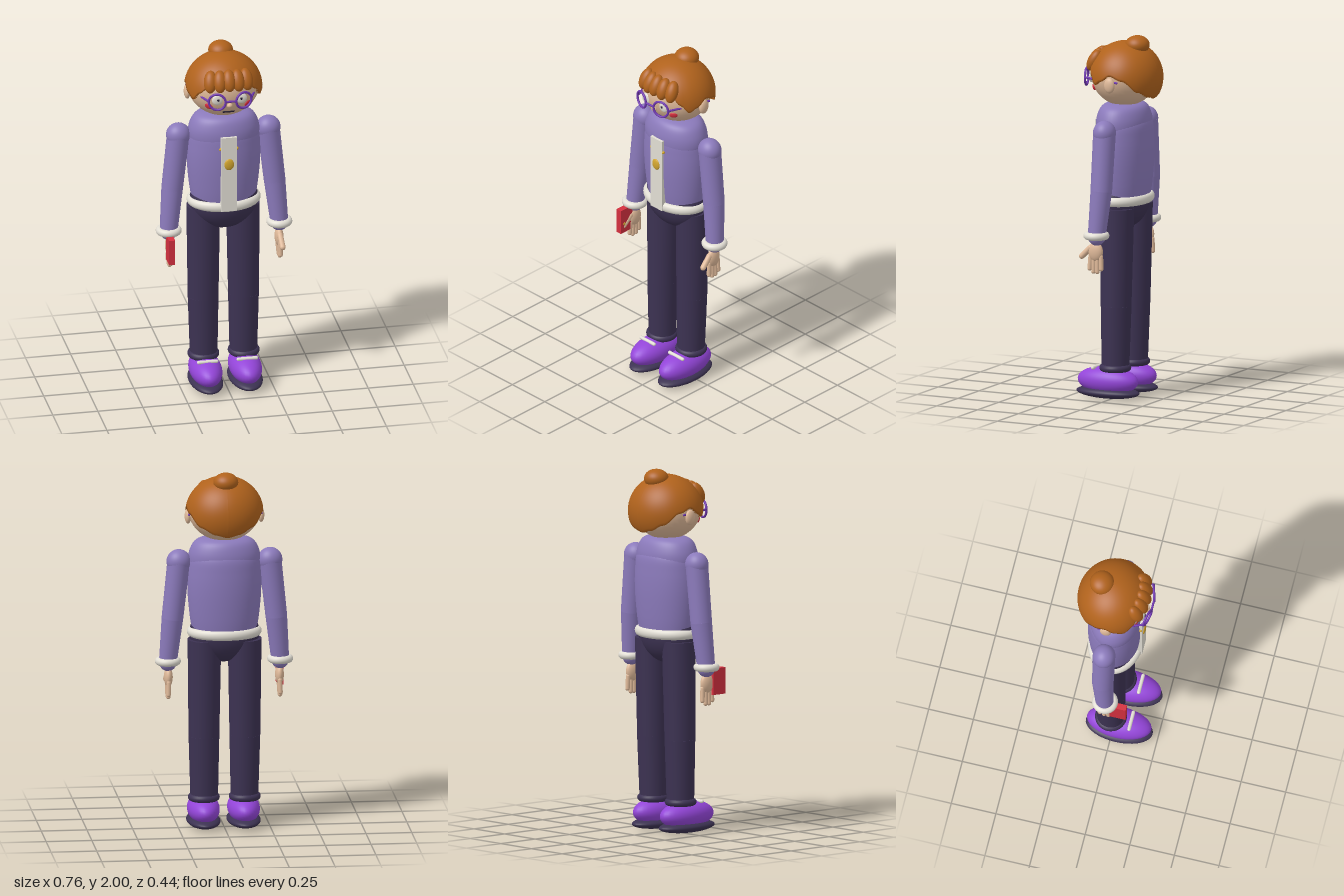
import * as THREE from 'three';

const mat = (name, color) => {
  const m = new THREE.MeshStandardMaterial({ color });
  m.name = name;
  return m;
};

export function createModel() {
  const hairMat = mat('hair brown', 0xb0621c);
  const skin = mat('skin', 0xdfb999);
  const lilac = mat('sweater lilac', 0x8b7abb);
  const navy = mat('trouser navy', 0x3c3252);
  const violet = mat('shoe violet', 0x9345d8);
  const frameMat = mat('glasses purple', 0x7038b0);
  const cream = mat('trim cream', 0xe2ded4);
  const red = mat('red', 0xd5303f);
  const gold = mat('gold', 0xd2a52f);
  const ink = mat('ink', 0x251c30);
  hairMat.side = THREE.DoubleSide;

  const model = new THREE.Group();
  model.name = 'figure';
  const V = (x, y, z) => new THREE.Vector3(x, y, z);

  const add = (name, geo, material, x = 0, y = 0, z = 0, parent = model) => {
    const m = new THREE.Mesh(geo, material);
    m.name = name;
    m.position.set(x, y, z);
    parent.add(m);
    return m;
  };
  const ball = (name, material, x, y, z, rx, ry, rz, parent) => {
    const m = add(name, new THREE.SphereGeometry(1, 36, 24), material, x, y, z, parent);
    m.scale.set(rx, ry, rz);
    return m;
  };
  // straight tapered limb or rounded rod between two points
  const between = (m, a, b) => {
    m.position.copy(a).add(b).multiplyScalar(0.5);
    m.quaternion.setFromUnitVectors(V(0, 1, 0), b.clone().sub(a).normalize());
    return m;
  };
  const limb = (name, material, a, b, ra, rb, parent) =>
    between(add(name, new THREE.CylinderGeometry(rb, ra, a.distanceTo(b), 32), material, 0, 0, 0, parent), a, b);
  const rod = (name, material, a, b, r, parent) =>
    between(add(name, new THREE.CapsuleGeometry(r, a.distanceTo(b), 6, 14), material, 0, 0, 0, parent), a, b);
  const ring = (name, material, x, y, z, r, tube, parent) => {
    const m = add(name, new THREE.TorusGeometry(r, tube, 16, 48), material, x, y, z, parent);
    m.rotation.x = Math.PI / 2;
    return m;
  };
  const lathe = (name, material, pts, z, depth) => {
    const curve = new THREE.SplineCurve(pts.map(p => new THREE.Vector2(...p)));
    const profile = curve.getPoints(28).map(p => new THREE.Vector2(Math.max(p.x, 0), p.y));
    const m = add(name, new THREE.LatheGeometry(profile, 48), material, 0, 0, z);
    m.scale.z = depth;
    return m;
  };

  // torso, yoke, hem and pelvis
  lathe('sweaterBody', lilac, [[0.17, 1.08], [0.188, 1.18], [0.201, 1.32], [0.2, 1.44], [0.185, 1.53], [0.12, 1.59]], -0.013, 0.74);
  lathe('sweaterYoke', lilac, [[0.18, 1.44], [0.196, 1.49], [0.191, 1.55], [0.16, 1.605], [0.1, 1.627], [0, 1.632]], -0.01, 0.72);
  const hem = ring('sweaterHem', cream, 0, 1.1, -0.01, 0.177, 0.027);
  hem.scale.y = 0.75;
  ball('pelvis', navy, 0, 1.09, -0.008, 0.192, 0.16, 0.128);

  // front placket with badge and studs
  add('placket', new THREE.BoxGeometry(0.088, 0.44, 0.03), cream, 0, 1.305, 0.13);
  ball('badge', gold, 0, 1.365, 0.145, 0.027, 0.033, 0.01);
  for (const s of [-1, 1]) ball('stud', gold, 0.045 * s, 1.455, 0.135, 0.009, 0.009, 0.009);

  // head and a helper giving the depth of the face
  ball('head', skin, 0, 1.78, -0.015, 0.197, 0.172, 0.18);
  const faceZ = (x, y) =>
    -0.015 + 0.18 * Math.sqrt(Math.max(0, 1 - (x / 0.197) ** 2 - ((y - 1.78) / 0.172) ** 2));
  ball('nose', skin, 0, 1.727, faceZ(0, 1.727) + 0.004, 0.016, 0.014, 0.015);
  rod('mouth', ink, V(-0.028, 1.677, faceZ(0.028, 1.677)), V(0.028, 1.677, faceZ(0.028, 1.677)), 0.006);

  // hair cap: part of an ellipsoid, cut along a wavy hairline
  const hairline = [[0, 1.87], [0.55, 1.85], [0.85, 1.79], [1.08, 1.742], [1.3, 1.765],
    [1.6, 1.8], [1.95, 1.775], [2.4, 1.71], [2.8, 1.675], [Math.PI, 1.66]];
  const edgeY = a => {
    let i = 0;
    while (i < hairline.length - 2 && a > hairline[i + 1][0]) i++;
    const [a0, y0] = hairline[i], [a1, y1] = hairline[i + 1];
    return THREE.MathUtils.lerp(y0, y1, THREE.MathUtils.smoothstep(a, a0, a1));
  };
  const rows = 24, cols = 96;
  const cap = new THREE.SphereGeometry(1, cols, rows);
  const cp = cap.attributes.position;
  for (let r = 0; r <= rows; r++) for (let c = 0; c <= cols; c++) {
    const a = Math.PI - (c / cols) * Math.PI * 2;
    const end = Math.acos((edgeY(Math.abs(a)) - 1.765) / 0.2);
    const t = end * Math.min(r / (rows - 1), 1);
    const k = r === rows ? 0.86 : 1; // last row folds in to the scalp
    cp.setXYZ(r * (cols + 1) + c, -0.213 * k * Math.sin(t) * Math.sin(a),
      1.765 + 0.2 * Math.cos(t), -0.02 + 0.202 * k * Math.sin(t) * Math.cos(a));
  }
  // columns run from back round to back; reverse faces if they point inwards
  const probe = Math.floor(rows / 2) * (cols + 1) + cols / 4;
  const index = cap.index.array;
  const p0 = V().fromBufferAttribute(cp, probe);
  const e1 = V().fromBufferAttribute(cp, probe + cols + 1).sub(p0);
  const e2 = V().fromBufferAttribute(cp, probe + 1).sub(p0);
  if (e1.cross(e2).dot(p0.clone().sub(V(0, 1.765, -0.02))) < 0)
    for (let i = 0; i < index.length; i += 3) [index[i], index[i + 1]] = [index[i + 1], index[i]];
  cap.computeVertexNormals();
  add('hairCap', cap, hairMat);
  ball('bun', hairMat, 0, 1.948, -0.09, 0.068, 0.052, 0.067);
  for (let i = -2; i <= 2; i++) {
    const lock = ball('fringeLock', hairMat, i * 0.05, 1.868 - 0.004 * Math.abs(i), 0.143 - 0.005 * i * i, 0.036, 0.062, 0.034);
    lock.rotation.set(-0.5, i * 0.15, i * 0.06);
  }

  // glasses bridge
  rod('glassesBridge', frameMat, V(-0.026, 1.765, 0.193), V(0.026, 1.765, 0.193), 0.006);

  for (const s of [-1, 1]) {
    const side = new THREE.Group();
    side.name = s > 0 ? 'leftSide' : 'rightSide';
    model.add(side);

    // face details
    ball('ear', skin, 0.2 * s, 1.748, -0.022, 0.018, 0.042, 0.031, side);
    ball('eye', cream, 0.066 * s, 1.763, faceZ(0.066, 1.763), 0.031, 0.031, 0.012, side);
    ball('pupil', ink, 0.064 * s, 1.765, faceZ(0.064, 1.765) + 0.011, 0.007, 0.007, 0.004, side);
    const cheek = ball('cheek', red, 0.108 * s, 1.714, faceZ(0.108, 1.714), 0.023, 0.018, 0.008, side);
    cheek.rotation.set(0.3, 0.6 * s, 0);
    const rim = add('glassesRim', new THREE.TorusGeometry(0.046, 0.0065, 12, 40), frameMat, 0.074 * s, 1.763, 0.182, side);
    rim.rotation.y = 0.27 * s;
    rod('glassesTemple', frameMat, V(0.118 * s, 1.765, 0.168), V(0.145 * s, 1.765, 0.1), 0.006, side);
    rod('glassesTempleTip', frameMat, V(0.145 * s, 1.765, 0.1), V(0.198 * s, 1.765, -0.065), 0.006, side);

    // arm and sleeve
    const shoulder = V(0.25 * s, 1.495, -0.018), elbow = V(0.284 * s, 1.18, -0.016), wrist = V(0.307 * s, 0.93, 0);
    ball('shoulder', lilac, shoulder.x, shoulder.y, shoulder.z, 0.067, 0.067, 0.062, side);
    limb('upperSleeve', lilac, shoulder, elbow, 0.062, 0.059, side);
    ball('elbow', lilac, elbow.x, elbow.y, elbow.z, 0.059, 0.059, 0.059, side);
    limb('lowerSleeve', lilac, elbow, wrist, 0.059, 0.049, side);
    ball('sleeveEnd', lilac, wrist.x, wrist.y, wrist.z, 0.048, 0.05, 0.048, side);
    ring('sleeveCuff', cream, wrist.x, 0.935, 0.002, 0.05, 0.021, side);

    // hand with four fingers and a thumb
    const hx = 0.304 * s;
    ball('palm', skin, hx, 0.845, 0.008, 0.024, 0.055, 0.043, side);
    for (let f = 0; f < 4; f++) {
      const z = -0.024 + f * 0.021;
      rod('finger', skin, V(hx, 0.82, z), V(hx + 0.002 * s, [0.752, 0.735, 0.735, 0.75][f], z * 1.12), 0.0125, side);
    }
    rod('thumb', skin, V(hx, 0.865, 0.04), V(hx + 0.004 * s, 0.815, 0.09), 0.016, side);

    // leg
    limb('upperLeg', navy, V(0.11 * s, 1.06, -0.025), V(0.112 * s, 0.52, -0.018), 0.092, 0.084, side);
    limb('lowerLeg', navy, V(0.112 * s, 0.52, -0.018), V(0.11 * s, 0.16, -0.013), 0.084, 0.075, side);
    ring('trouserCuff', navy, 0.112 * s, 0.175, -0.013, 0.067, 0.02, side);

    // shoe
    ball('shoeUpper', violet, 0.11 * s, 0.1, 0.033, 0.088, 0.077, 0.18, side);
    ball('shoeSole', navy, 0.11 * s, 0.036, 0.033, 0.092, 0.034, 0.187, side);
    rod('shoeStrap', cream, V(0.06 * s, 0.17, 0.1), V(0.16 * s, 0.17, 0.1), 0.01, side);
  }

  // phone in the right hand
  add('phone', new THREE.BoxGeometry(0.034, 0.145, 0.09), red, -0.312, 0.853, 0.077);
  ball('phoneButton', gold, -0.295, 0.835, 0.095, 0.004, 0.009, 0.009);

  return model;
}
